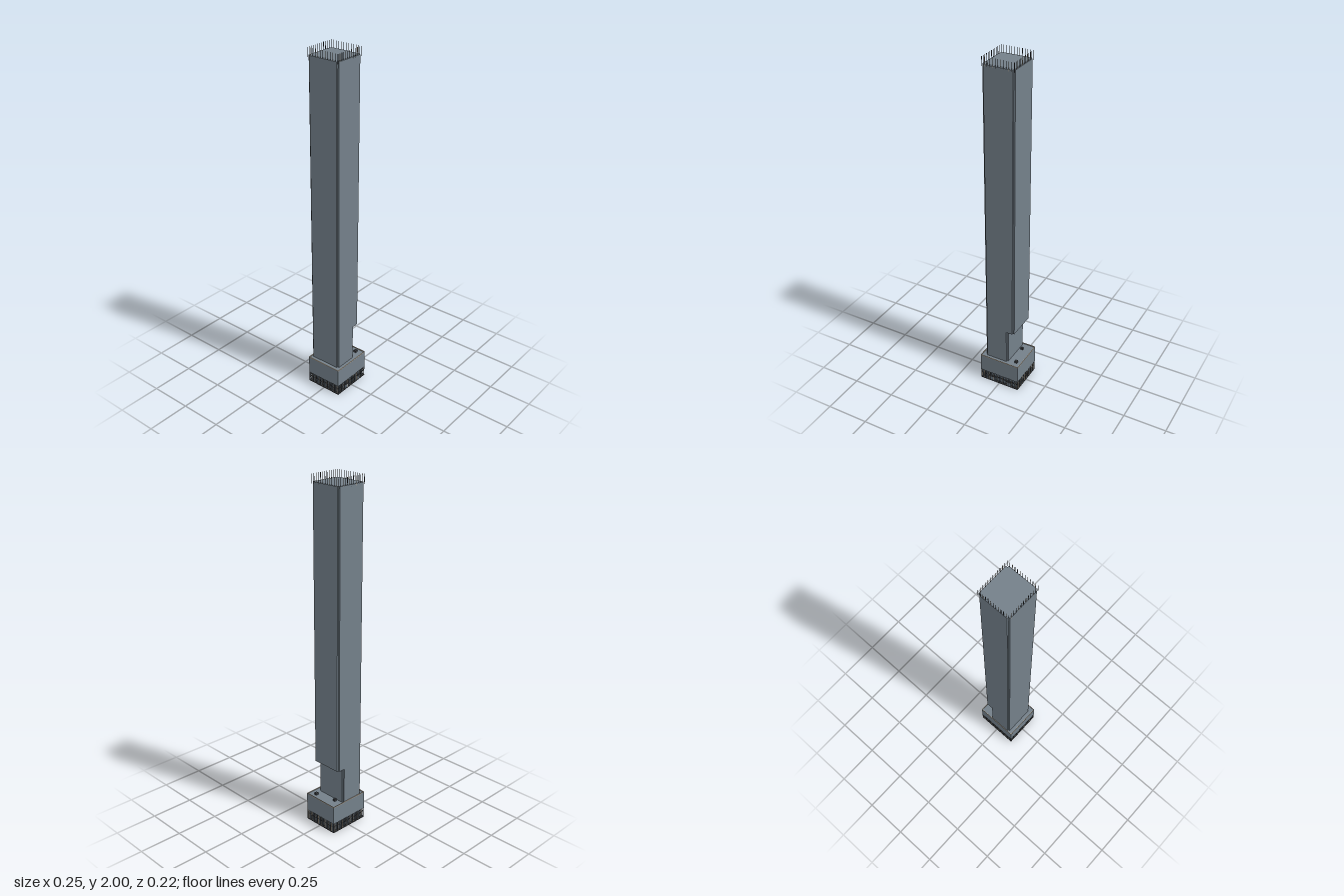
import * as THREE from 'three';

const mat = (name, color) => {
  const m = new THREE.MeshStandardMaterial({ color });
  m.name = name;
  return m;
};

export function createModel() {
  const model = new THREE.Group();
  const slate = mat('slate cladding', 0x74808a);
  const dark = mat('dark metal', 0x3b3d40);
  const beige = mat('beige stone', 0xb0a594);
  const glass = mat('lobby glass', 0x5f6b76);

  const add = (name, geo, material, parent = model) => {
    const mesh = new THREE.Mesh(geo, material);
    mesh.name = name;
    parent.add(mesh);
    return mesh;
  };
  // Box given by its lower and upper corners
  const box = (name, x0, y0, z0, x1, y1, z1, material, parent) => {
    const mesh = add(name, new THREE.BoxGeometry(x1 - x0, y1 - y0, z1 - z0), material, parent);
    mesh.position.set((x0 + x1) / 2, (y0 + y1) / 2, (z0 + z1) / 2);
    return mesh;
  };
  // Rectangular shaft whose four corners are notched in plan
  const shaft = (name, x0, z0, x1, z1, y0, y1, n) => {
    const plan = [
      [x0 + n, z1], [x1 - n, z1], [x1 - n, z1 - n], [x1, z1 - n],
      [x1, z0 + n], [x1 - n, z0 + n], [x1 - n, z0], [x0 + n, z0],
      [x0 + n, z0 + n], [x0, z0 + n], [x0, z1 - n], [x0 + n, z1 - n],
    ].map(([x, z]) => new THREE.Vector2(x, -z));
    const geo = new THREE.ExtrudeGeometry(new THREE.Shape(plan), { depth: y1 - y0, bevelEnabled: false });
    geo.rotateX(-Math.PI / 2).translate(0, y0, 0);
    return add(name, geo, slate);
  };
  // Hollow rectangular band of width w
  const ring = (name, x0, z0, x1, z1, y0, y1, w, material) => {
    const g = new THREE.Group();
    g.name = name;
    box('frontBand', x0, y0, z1 - w, x1, y1, z1, material, g);
    box('backBand', x0, y0, z0, x1, y1, z0 + w, material, g);
    box('leftBand', x1 - w, y0, z0 + w, x1, y1, z1 - w, material, g);
    box('rightBand', x0, y0, z0 + w, x0 + w, y1, z1 - w, material, g);
    model.add(g);
  };
  // Row of slim upright fins around a rectangle, alternating in colour
  const fins = (name, x0, z0, x1, z1, y0, y1, count, w, materials) => {
    const g = new THREE.Group();
    g.name = name;
    const fin = (x, z, i) =>
      box('fin', x - w / 2, y0, z - w / 2, x + w / 2, y1, z + w / 2, materials[i % materials.length], g);
    for (let i = 0; i <= count; i++) {
      const x = x0 + ((x1 - x0) * i) / count;
      const z = z0 + ((z1 - z0) * i) / count;
      fin(x, z1, i);
      fin(x, z0, i);
      if (i > 0 && i < count) {
        fin(x0, z, i);
        fin(x1, z, i);
      }
    }
    model.add(g);
  };

  // Tower: full shaft above, cut back on its left side near the base
  shaft('towerShaft', -0.099, -0.108, 0.083, 0.085, 0.378, 1.96, 0.009);
  shaft('towerFoot', -0.099, -0.108, 0.045, 0.085, 0.165, 0.378, 0.009);
  fins('crownFins', -0.098, -0.107, 0.082, 0.084, 1.95, 2.0, 12, 0.002, [dark, beige, dark]);

  // Podium with a pale coping
  box('podium', -0.123, 0.06, -0.112, 0.123, 0.165, 0.107, slate);
  ring('podiumCoping', -0.123, -0.112, 0.123, 0.107, 0.165, 0.17, 0.003, beige);

  // Recessed lobby with mullions, transom and sill
  box('lobby', -0.112, 0.004, -0.101, 0.112, 0.06, 0.096, glass);
  fins('lobbyMullions', -0.121, -0.11, 0.121, 0.105, 0.004, 0.06, 24, 0.003, [dark, slate, beige]);
  ring('lobbyTransom', -0.122, -0.111, 0.122, 0.106, 0.036, 0.041, 0.003, dark);
  ring('lobbySill', -0.123, -0.112, 0.123, 0.107, 0, 0.006, 0.012, dark);

  // Entrances on the front
  for (const [x0, x1] of [[-0.068, -0.025], [0.05, 0.079]]) {
    box('entranceCanopy', x0, 0.034, 0.1, x1, 0.038, 0.111, dark);
    box('entranceDoor', x0 + 0.004, 0.005, 0.1, x1 - 0.004, 0.034, 0.106, glass);
  }

  // Small plant units on the podium roof
  box('roofUnit', 0.083, 0.165, 0.056, 0.099, 0.178, 0.071, dark);
  box('roofUnit', 0.056, 0.165, -0.066, 0.07, 0.178, -0.053, dark);

  return model;
}
